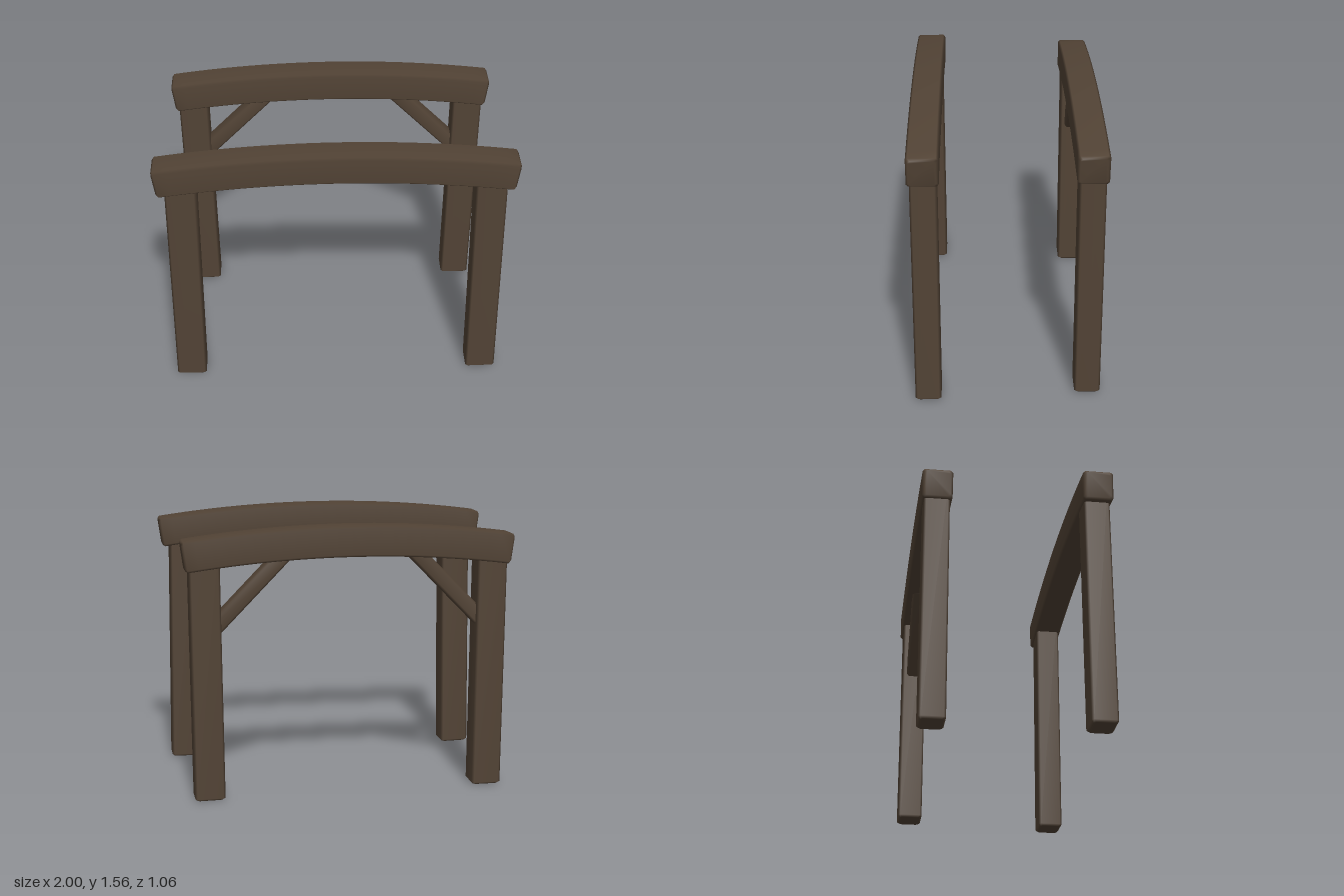
import * as THREE from 'three';

const wood = new THREE.MeshStandardMaterial({ color: 0x524335 });
wood.name = 'dark wood';

// Sweeps a chamfered rectangle along a path of [x, y] points at depth z,
// with bevelled ends and soft shared normals.
function timber(name, path, halfWidth, halfDepth, z, bevel = 0.012) {
  const pts = path.map(([x, y]) => new THREE.Vector2(x, y));
  const last = pts.length - 1;
  const stations = pts.map((p, i) => {
    const t = pts[Math.min(i + 1, last)].clone().sub(pts[Math.max(i - 1, 0)]).normalize();
    return { p, t, inset: 0 };
  });
  // narrower rings close each end
  const a = stations[0], b = stations[last];
  stations.unshift({ p: a.p.clone(), t: a.t, inset: bevel });
  stations.push({ p: b.p.clone(), t: b.t, inset: bevel });
  a.p.addScaledVector(a.t, bevel);
  b.p.addScaledVector(b.t, -bevel);

  const pos = [], index = [];
  for (const { p, t, inset } of stations) {
    const w = halfWidth - inset, d = halfDepth - inset, c = bevel;
    const ring = [[w, -d + c], [w, d - c], [w - c, d], [-w + c, d],
      [-w, d - c], [-w, -d + c], [-w + c, -d], [w - c, -d]];
    for (const [u, v] of ring) pos.push(p.x - t.y * u, p.y + t.x * u, z + v);
  }
  const end = (stations.length - 1) * 8;
  for (let i = 0; i < end; i += 8) {
    for (let j = 0; j < 8; j++) {
      const k = (j + 1) % 8;
      index.push(i + j, i + k, i + 8 + k, i + j, i + 8 + k, i + 8 + j);
    }
  }
  for (let j = 1; j < 7; j++) {
    index.push(0, j + 1, j, end, end + j, end + j + 1);
  }
  const geo = new THREE.BufferGeometry();
  geo.setAttribute('position', new THREE.Float32BufferAttribute(pos, 3));
  geo.setIndex(index);
  geo.computeVertexNormals();
  const mesh = new THREE.Mesh(geo, wood);
  mesh.name = name;
  return mesh;
}

// Gently arched beam following a parabola
function archedBeam(name, halfLength, crownY, drop, z) {
  const path = [];
  for (let i = 0; i <= 24; i++) {
    const s = i / 12 - 1;
    path.push([s * halfLength, crownY - drop * s * s]);
  }
  return timber(name, path, 0.085, 0.085, z);
}

export function createModel() {
  const model = new THREE.Group();
  model.name = 'timberArches';

  const front = new THREE.Group();
  front.name = 'frontFrame';
  const back = new THREE.Group();
  back.name = 'backFrame';
  model.add(front, back);

  front.add(archedBeam('frontBeam', 0.988, 1.475, 0.07, 0.445));
  back.add(archedBeam('backBeam', 0.928, 1.448, 0.065, -0.445));

  for (const [side, s] of [['left', 1], ['right', -1]]) {
    // slightly leaning posts, their tops buried in the beams
    front.add(timber(side + 'FrontPost', [[s * 0.865, 0], [s * 0.847, 1.42]], 0.086, 0.072, 0.445));
    back.add(timber(side + 'BackPost', [[s * 0.805, 0], [s * 0.815, 1.4]], 0.085, 0.072, -0.445));
    // diagonal braces on the back frame
    back.add(timber(side + 'Brace', [[s * 0.79, 0.95], [s * 0.36, 1.39]], 0.043, 0.045, -0.445));
  }
  return model;
}
